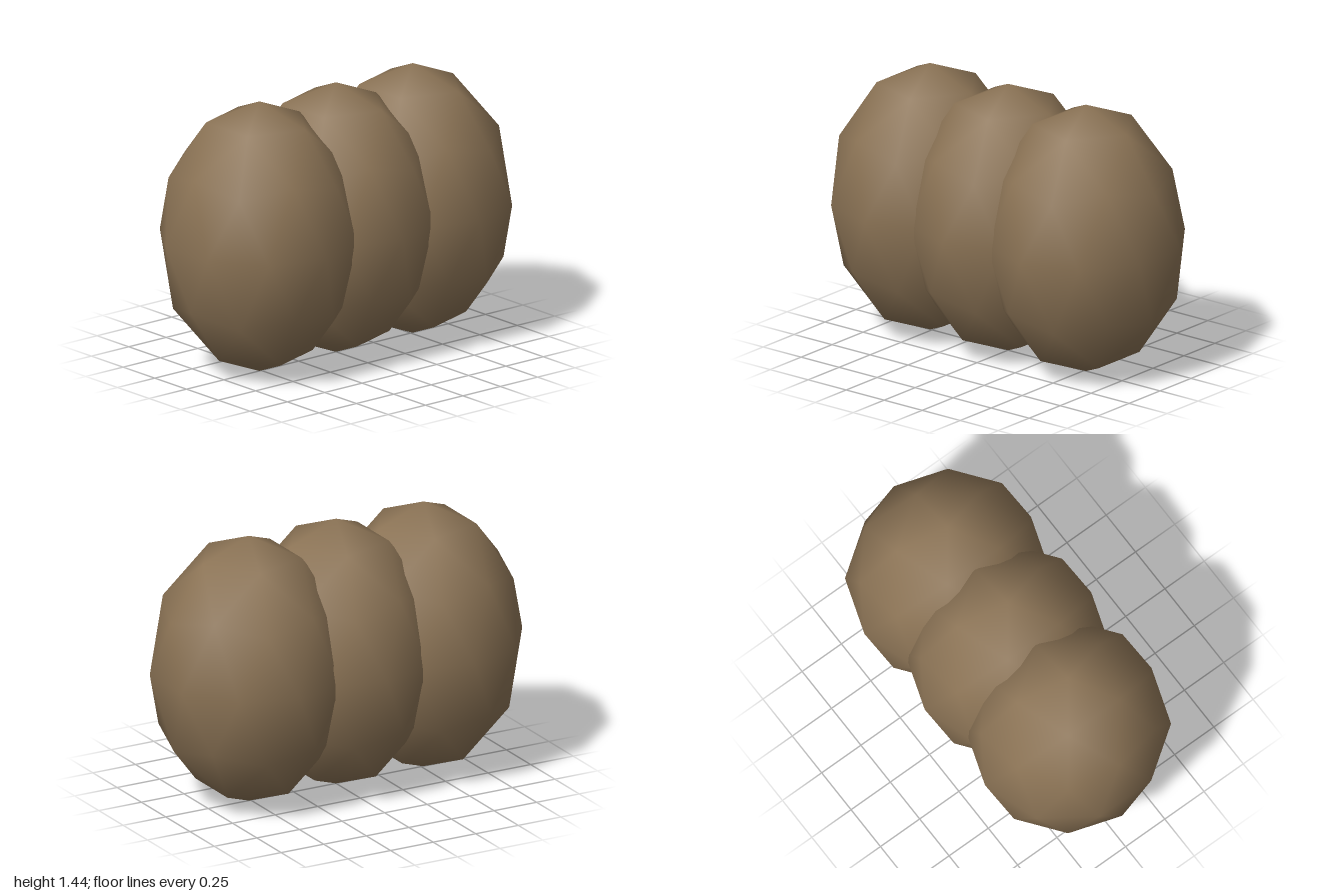
import * as THREE from 'three';

// Once-subdivided icosahedron with its poles on the y axis, stretched to an ellipsoid
function lobeGeometry(rx, ry, rz) {
  const h = 1 / Math.sqrt(5), r = 2 * h;
  const points = [0, 1, 0];
  for (const [y, turn] of [[h, 0], [-h, Math.PI / 5]]) {
    for (let i = 0; i < 5; i++) {
      const a = turn + (i * 2 * Math.PI) / 5;
      points.push(r * Math.cos(a), y, -r * Math.sin(a));
    }
  }
  points.push(0, -1, 0);

  const faces = [];
  for (let i = 0; i < 5; i++) {
    const j = (i + 1) % 5;
    const u = 1 + i, v = 1 + j, l = 6 + i, m = 6 + j;
    faces.push(0, u, v, u, l, v, l, m, v, 11, m, l);
  }
  return new THREE.PolyhedronGeometry(points, faces, 1, 1).scale(rx, ry, rz);
}

export function createModel() {
  const group = new THREE.Group();
  group.name = 'threeLobedBody';
  const brown = new THREE.MeshStandardMaterial({ color: 0x8b7355 });
  brown.name = 'brown';

  // Three overlapping lobes in a row
  const rx = 0.5126, ry = 0.7193, rz = 0.5306;
  const geometry = lobeGeometry(rx, ry, rz);
  ['rightLobe', 'middleLobe', 'leftLobe'].forEach((name, i) => {
    const lobe = new THREE.Mesh(geometry, brown);
    lobe.name = name;
    lobe.position.set((i - 1) * rx, ry, 0);
    group.add(lobe);
  });
  return group;
}
